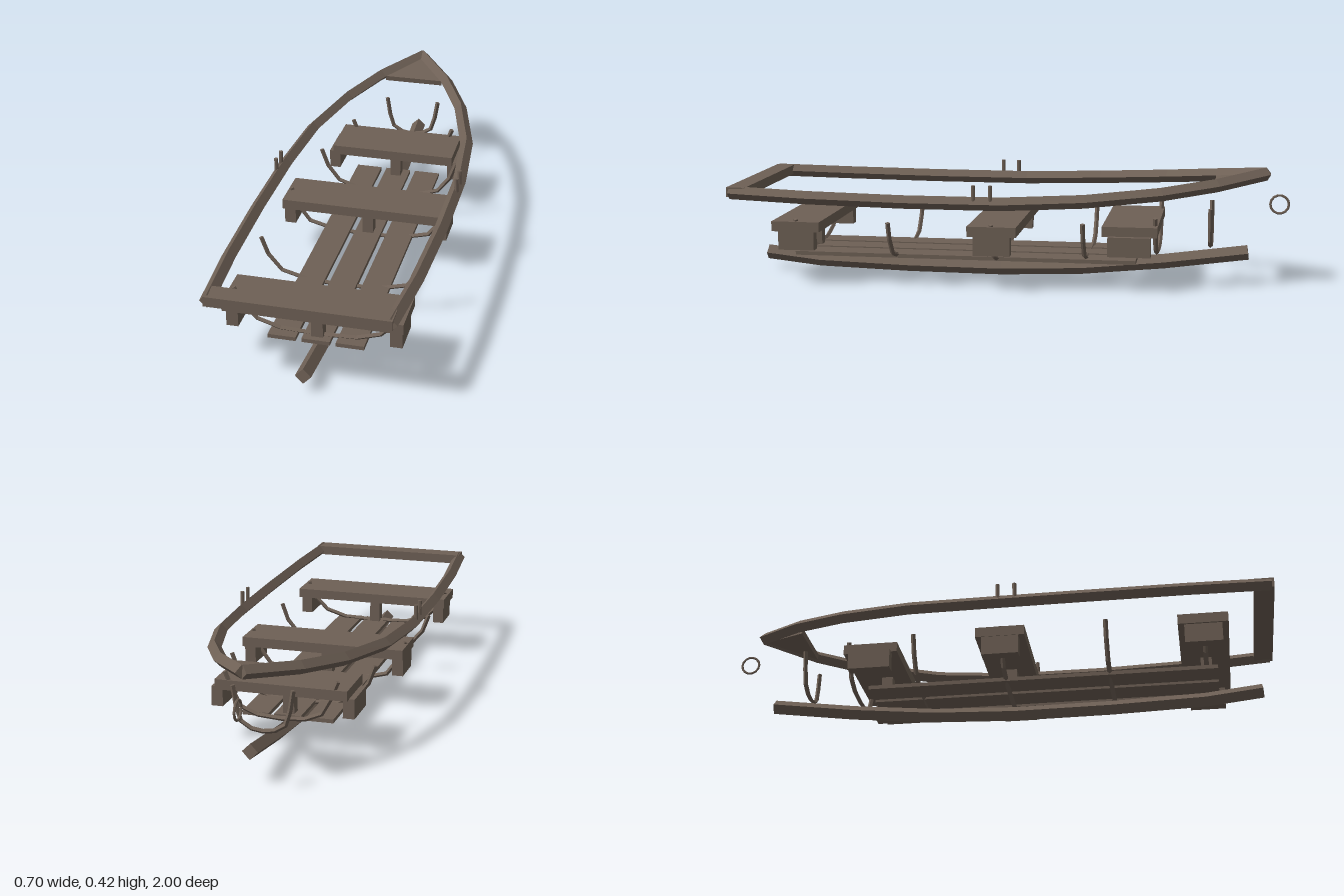
import * as THREE from 'three';

const wood = new THREE.MeshStandardMaterial({ color: 0x6e6055, flatShading: true });
wood.name = 'weathered wood';

const v = (x, y, z) => new THREE.Vector3(x, y, z);

// Diamond-section beam swept along a polyline; "up" fixes one diagonal of the section.
function sweep(points, r, up) {
  const pos = [], idx = [], n = points.length;
  points.forEach((p, i) => {
    const t = points[Math.min(i + 1, n - 1)].clone().sub(points[Math.max(i - 1, 0)]).normalize();
    const s = up.clone().cross(t).normalize();
    const b = t.clone().cross(s);
    for (const [ks, kb] of [[1, 0], [0, 1], [-1, 0], [0, -1]]) {
      pos.push(...p.clone().addScaledVector(s, ks * r).addScaledVector(b, kb * r).toArray());
    }
  });
  for (let i = 0; i < n - 1; i++) {
    for (let k = 0; k < 4; k++) {
      const a = i * 4 + k, b = i * 4 + (k + 1) % 4;
      idx.push(a, b, b + 4, a, b + 4, a + 4);
    }
  }
  const e = (n - 1) * 4;
  idx.push(0, 2, 1, 0, 3, 2, e, e + 1, e + 2, e, e + 2, e + 3);
  const indexed = new THREE.BufferGeometry();
  indexed.setAttribute('position', new THREE.Float32BufferAttribute(pos, 3));
  indexed.setIndex(idx);
  const g = indexed.toNonIndexed();
  g.computeVertexNormals();
  return g;
}

export function createModel() {
  const boat = new THREE.Group();
  boat.name = 'rowingBoat';

  const add = (name, geometry, parent = boat) => {
    const m = new THREE.Mesh(geometry, wood);
    m.name = name;
    parent.add(m);
    return m;
  };
  // Box given by its limits on each axis
  const box = (name, x0, x1, y0, y1, z0, z1, parent) => {
    const m = add(name, new THREE.BoxGeometry(x1 - x0, y1 - y0, z1 - z0), parent);
    m.position.set((x0 + x1) / 2, (y0 + y1) / 2, (z0 + z1) / 2);
    return m;
  };

  // Keel
  const keel = [[0.062, 0.945], [0.04, 0.74], [0.03, 0.4], [0.028, 0.05], [0.04, -0.25], [0.07, -0.55], [0.112, -0.855]];
  add('keel', sweep(keel.map(([y, z]) => v(0, y, z)), 0.027, v(1, 0, 0)));

  // Gunwales, mirrored left and right
  const rail = [
    [0.296, 0.333, 0.99], [0.318, 0.325, 0.7], [0.328, 0.32, 0.35], [0.326, 0.32, 0],
    [0.3, 0.332, -0.29], [0.228, 0.352, -0.55], [0.135, 0.374, -0.74], [0, 0.4, -0.915],
  ];
  for (const side of [1, -1]) {
    add(side > 0 ? 'leftGunwale' : 'rightGunwale',
      sweep(rail.map(([x, y, z]) => v(side * x, y, z)), 0.024, v(0, 1, 0)));
    // Pairs of oar pins
    for (const z of [0.035, 0.095]) {
      const pin = add('oarPin', new THREE.CylinderGeometry(0.0075, 0.0075, 0.07, 8));
      pin.position.set(side * 0.333, 0.35, z);
    }
  }

  // Stern rail
  box('transomRail', -0.306, 0.306, 0.318, 0.353, 0.93, 1);

  // Triangular bow deck, rising towards the tip
  const tri = new THREE.Shape([
    new THREE.Vector2(-0.115, 0), new THREE.Vector2(0.115, 0), new THREE.Vector2(0, 0.175)]);
  const deck = add('bowDeck', new THREE.ExtrudeGeometry(tri, { depth: 0.02, bevelEnabled: false }));
  deck.rotation.x = -Math.PI / 2 + 0.16;
  deck.position.set(0, 0.355, -0.735);

  // Mooring ring at the bow
  const ring = add('mooringRing', new THREE.TorusGeometry(0.033, 0.0045, 6, 14));
  ring.rotation.y = Math.PI / 2;
  ring.position.set(0, 0.291, -0.9625);

  // Seats: board, two side blocks and a centre post
  const seats = [
    ['sternSeat', 0.66, 0.835, 0.305, 0.298, 0.75],
    ['middleSeat', -0.05, 0.125, 0.305, 0.303, 0.04],
    ['bowSeat', -0.54, -0.345, 0.235, 0.255, -0.425],
  ];
  for (const [name, z0, z1, half, outer, postZ] of seats) {
    const seat = new THREE.Group();
    seat.name = name;
    boat.add(seat);
    box('seatBoard', -half, half, 0.198, 0.234, z0, z1, seat);
    for (const side of [1, -1]) {
      const block = box('seatBlock', outer - 0.041, outer, 0.13, 0.2, z0 + 0.022, z1 - 0.022, seat);
      block.position.x *= side;
    }
    box('seatPost', -0.02, 0.02, 0.098, 0.2, postZ - 0.02, postZ + 0.02, seat);
  }

  // Floorboards
  for (const x of [-0.1165, 0, 0.1165]) {
    box('floorboard', x - 0.048, x + 0.048, 0.086, 0.1, -0.46, 0.79);
  }

  // Ribs: half profiles from the keel out to the tip, mirrored into one curve
  const ribs = [
    [0.75, [0, 0.1], [0.13, 0.105], [0.21, 0.13], [0.265, 0.185], [0.289, 0.241]],
    [0.41, [0, 0.084], [0.13, 0.09], [0.225, 0.115], [0.275, 0.175], [0.298, 0.238]],
    [0.04, [0, 0.082], [0.13, 0.087], [0.225, 0.112], [0.272, 0.175], [0.294, 0.24]],
    [-0.28, [0, 0.09], [0.12, 0.097], [0.195, 0.122], [0.24, 0.18], [0.264, 0.246]],
    [-0.53, [0, 0.112], [0.085, 0.118], [0.143, 0.142], [0.175, 0.2], [0.2, 0.262]],
    [-0.72, [0, 0.134], [0.04, 0.14], [0.077, 0.163], [0.093, 0.215], [0.104, 0.284]],
  ];
  for (const [z, ...half] of ribs) {
    const path = [
      ...half.slice(1).reverse().map(([x, y]) => v(-x, y, z)),
      ...half.map(([x, y]) => v(x, y, z)),
    ];
    add('rib', sweep(path, 0.0085, v(0, 0, 1)));
  }

  return boat;
}
